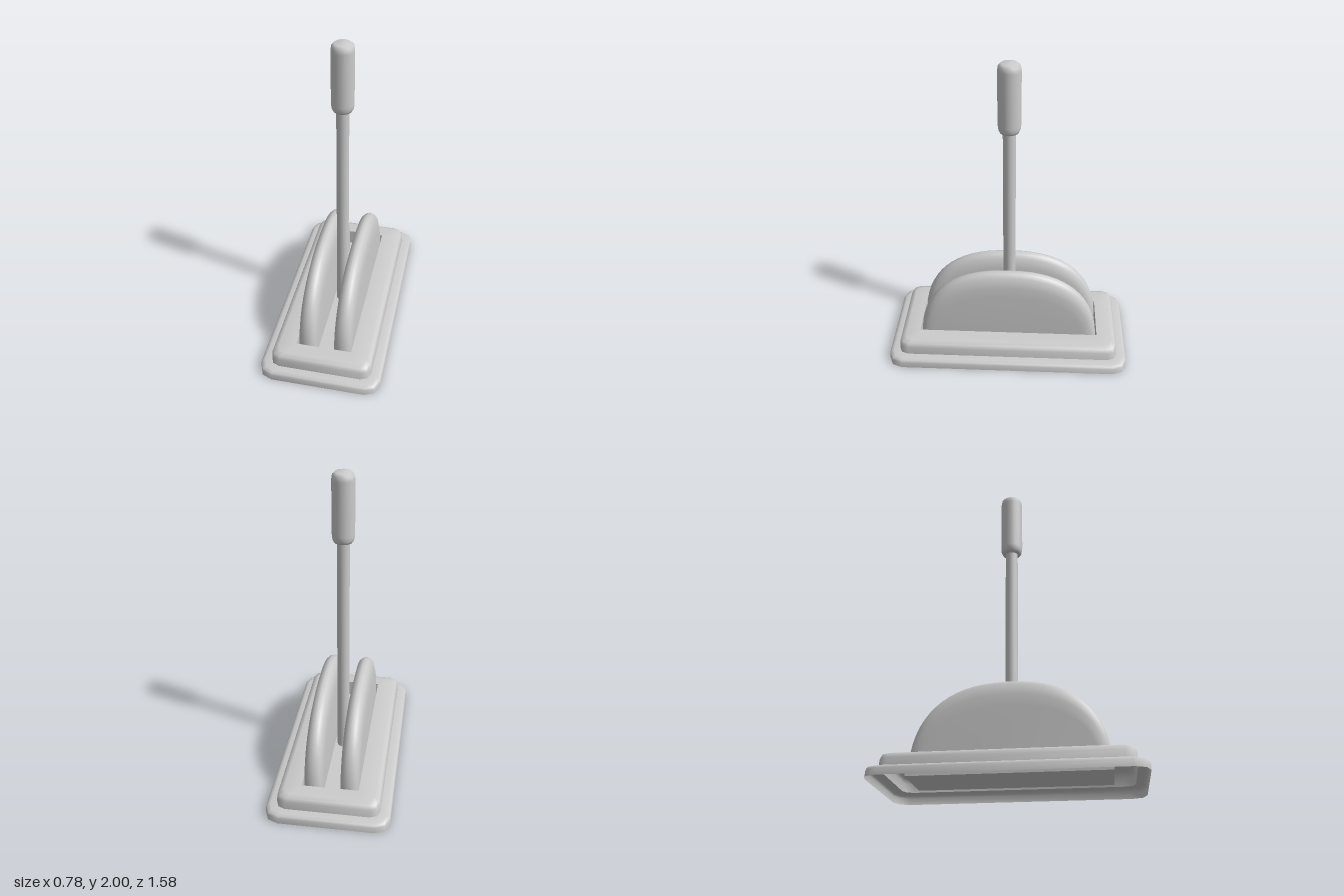
import * as THREE from 'three';
import { toCreasedNormals } from 'three/addons/utils/BufferGeometryUtils.js';

const material = new THREE.MeshStandardMaterial({ color: 0xcccccc, side: THREE.DoubleSide });

// Skin a stack of closed rings, with optional fan caps at either end.
function loft(rings, capFirst, capLast, crease) {
  const n = rings[0].length;
  const pos = rings.flat(2);
  const index = [];
  for (let r = 0; r < rings.length - 1; r++) {
    for (let i = 0; i < n; i++) {
      const a = r * n + i, b = r * n + (i + 1) % n;
      index.push(a, b, b + n, a, b + n, a + n);
    }
  }
  const last = (rings.length - 1) * n;
  for (let i = 1; i < n - 1; i++) {
    if (capFirst) index.push(0, i + 1, i);
    if (capLast) index.push(last, last + i, last + i + 1);
  }
  const geo = new THREE.BufferGeometry();
  geo.setAttribute('position', new THREE.Float32BufferAttribute(pos, 3));
  geo.setIndex(index);
  return toCreasedNormals(geo, crease);
}

// Horizontal rectangle with cut corners, three points per corner.
function baseRing(w, d, r, y) {
  const ring = [];
  for (let k = 0; k < 4; k++) {
    const sx = k === 0 || k === 3 ? 1 : -1;
    const sz = k < 2 ? -1 : 1;
    for (let j = 0; j < 3; j++) {
      const a = (k + j / 2) * Math.PI / 2;
      ring.push([sx * (w - r) + r * Math.cos(a), y, sz * (d - r) - r * Math.sin(a)]);
    }
  }
  return ring;
}

// Upright half superellipse at a given x.
function archRing(x, halfLength, height) {
  const ring = [], steps = 32, p = 2 / 2.4;
  for (let i = 0; i <= steps; i++) {
    const t = Math.PI * i / steps;
    const c = Math.cos(t), s = Math.max(0, Math.sin(t));
    ring.push([x, 0.04 + height * s ** p, -halfLength * Math.sign(c) * Math.abs(c) ** p]);
  }
  return ring;
}

export function createModel() {
  const model = new THREE.Group();
  const add = (name, geo) => {
    const mesh = new THREE.Mesh(geo, material);
    mesh.name = name;
    model.add(mesh);
    return mesh;
  };

  // Stepped hollow base with a sunken pocket, open underneath
  const steps = [
    [0.39, 0.79, 0.09, 0], [0.39, 0.79, 0.09, 0.04],
    [0.383, 0.783, 0.085, 0.053], [0.365, 0.765, 0.075, 0.06],
    [0.325, 0.725, 0.06, 0.062], [0.322, 0.722, 0.058, 0.115],
    [0.312, 0.712, 0.055, 0.14], [0.285, 0.685, 0.05, 0.15],
    [0.18, 0.595, 0, 0.15], [0.18, 0.595, 0, 0.04],
  ];
  add('base', loft(steps.map((s) => baseRing(...s)), false, true, 1.0));

  // Two arched side plates with rounded rims: [x offset, end inset, top inset]
  const half = [[0.06, 0.07, 0.17], [0.056, 0.035, 0.1], [0.042, 0.012, 0.03], [0.022, 0.003, 0.01]];
  const section = [
    ...half.map(([x, e, t]) => [-x, e, t]),
    [0, 0, 0],
    ...half.slice().reverse(),
  ];
  const plate = loft(section.map(([x, e, t]) => archRing(x, 0.592 - e, 0.575 - t)), true, true, 0.9);
  for (const side of [1, -1]) {
    add(side > 0 ? 'leftPlate' : 'rightPlate', plate).position.x = side * 0.115;
  }

  // Lever rod rising from the pocket floor
  const rod = add('leverRod', new THREE.CylinderGeometry(0.04, 0.04, 1.54, 16, 1, true));
  rod.position.y = 0.81;

  // Rounded hand grip
  const grip = [
    [0.036, 1.56], [0.058, 1.562], [0.067, 1.58], [0.071, 1.61],
    [0.071, 1.95], [0.066, 1.98], [0.05, 1.995], [0, 2],
  ].map(([x, y]) => new THREE.Vector2(x, y));
  add('grip', new THREE.LatheGeometry(grip, 16));

  return model;
}
